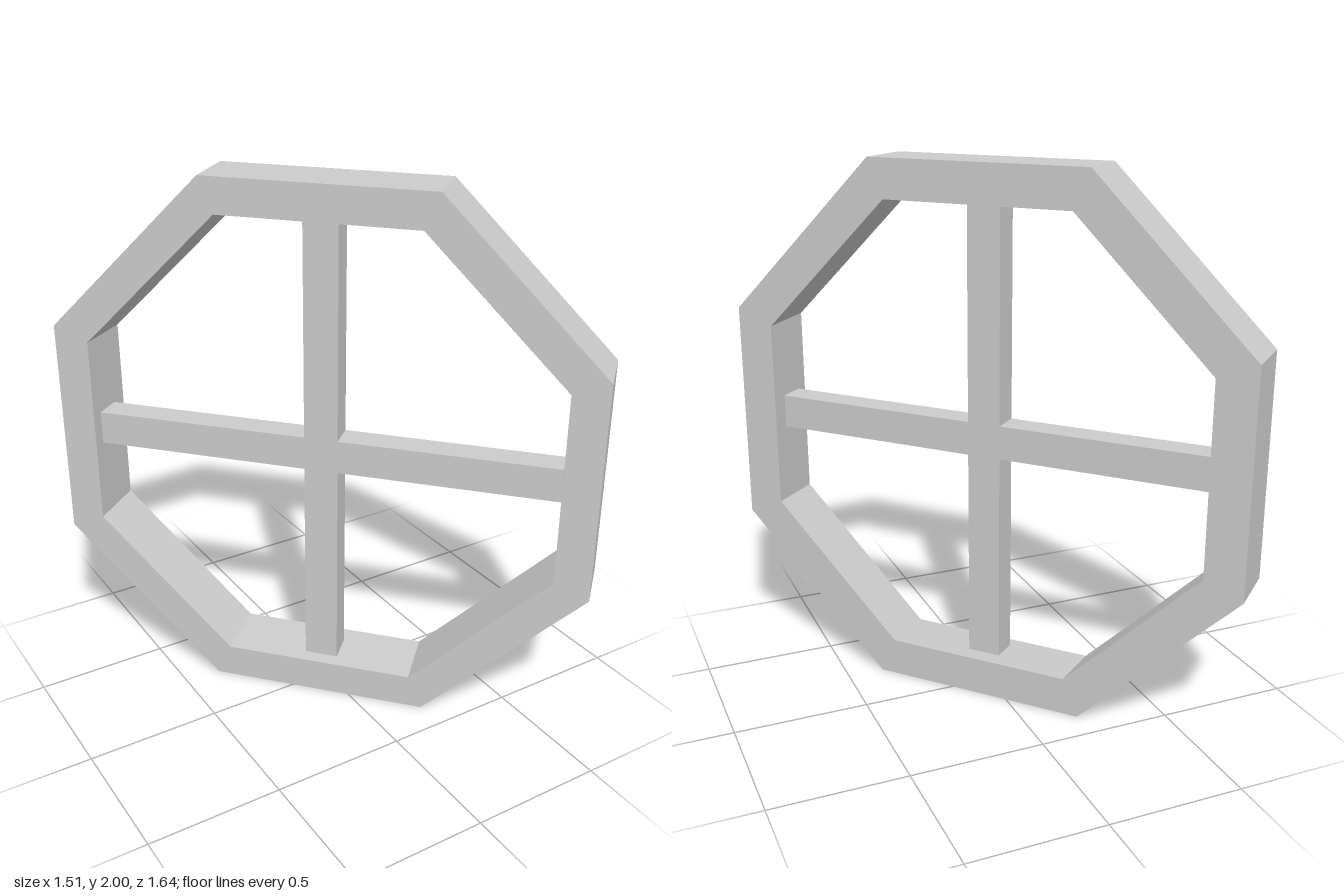
import * as THREE from 'three';

const SIDES = 8;
const HALF_DEPTH = 0.113;
const TURN = -0.836; // the window stands diagonally

const material = () => new THREE.MeshStandardMaterial({ color: 0xcccccc, flatShading: true });

// Octagonal ring whose opening narrows slightly towards the back
function makeFrame() {
  const toCorner = 1 / Math.cos(Math.PI / SIDES);
  const profile = [
    [0.857, -HALF_DEPTH],
    [1, -HALF_DEPTH],
    [1, HALF_DEPTH],
    [0.871, HALF_DEPTH],
    [0.857, -HALF_DEPTH],
  ].map(([apothem, depth]) => new THREE.Vector2(apothem * toCorner, depth));
  const ring = new THREE.LatheGeometry(profile, SIDES, Math.PI / SIDES).rotateX(Math.PI / 2).toNonIndexed();
  ring.computeVertexNormals();
  const mesh = new THREE.Mesh(ring, material());
  mesh.name = 'octagonalFrame';
  return mesh;
}

// Cross-shaped glazing bars, set slightly towards the front
function makeCrossBars() {
  const w = 0.063, l = 0.867, back = -0.043, front = 0.063;
  const arm = [[l, -w], [l, w], [w, w]];
  const points = [];
  for (let i = 0; i < 4; i++) {
    for (const [x, y] of arm) {
      points.push(new THREE.Vector2(x, y).rotateAround(new THREE.Vector2(), i * Math.PI / 2));
    }
  }
  const cross = new THREE.ExtrudeGeometry(new THREE.Shape(points), { depth: front - back, bevelEnabled: false });
  cross.translate(0, 0, back);
  const mesh = new THREE.Mesh(cross, material());
  mesh.name = 'crossBars';
  return mesh;
}

export function createModel() {
  const model = new THREE.Group();
  model.name = 'octagonalWindow';
  const assembly = new THREE.Group();
  assembly.name = 'windowAssembly';
  assembly.add(makeFrame(), makeCrossBars());
  assembly.position.y = 1;
  assembly.rotation.y = TURN;
  model.add(assembly);
  return model;
}
